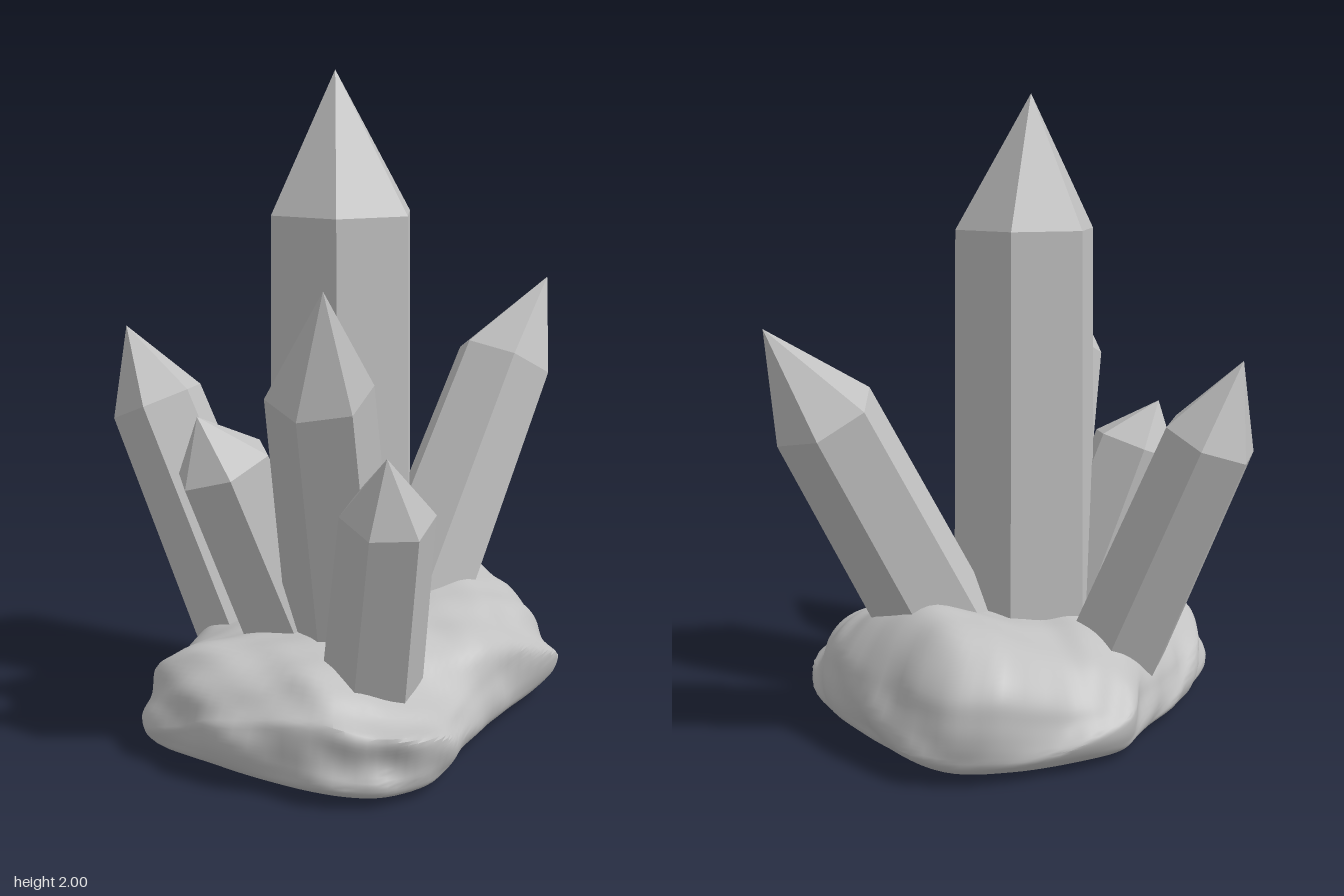
import * as THREE from 'three';
import { toCreasedNormals } from 'three/addons/utils/BufferGeometryUtils.js';

const V = (p) => new THREE.Vector3(...p);
const stone = new THREE.MeshStandardMaterial({ color: 0xc0c0c0 });
stone.name = 'grey stone';

// Six-sided pointed prism; ridge is a point near one shoulder corner and sets the twist
function crystal(name, { foot, shoulder, tip, ridge, rFoot, rTop }) {
  const f = V(foot), s = V(shoulder), t = V(tip);
  const axis = s.clone().sub(f).normalize();
  const u = V(ridge).sub(s).projectOnPlane(axis).normalize();
  const w = axis.clone().cross(u);
  const ring = (c, r) => Array.from({ length: 6 }, (_, i) => c.clone()
    .addScaledVector(u, r * Math.cos(i * Math.PI / 3))
    .addScaledVector(w, r * Math.sin(i * Math.PI / 3)));
  const low = ring(f, rFoot), high = ring(s, rTop), tris = [];
  for (let i = 0; i < 6; i++) {
    const j = (i + 1) % 6;
    tris.push(low[i], low[j], high[j], low[i], high[j], high[i]);
    tris.push(high[i], high[j], t, low[j], low[i], f);
  }
  const geo = new THREE.BufferGeometry().setFromPoints(tris);
  geo.computeVertexNormals();
  const mesh = new THREE.Mesh(geo, stone);
  mesh.name = name;
  return mesh;
}

// Soft bump centred on (cx, cz)
const bump = (x, z, cx, cz, sx, sz) => Math.exp(-(((x - cx) / sx) ** 2) - ((z - cz) / sz) ** 2);

// Lumpy rock noise, about -1 to 1, with sharp folds
function lump(x, y, z) {
  const a = Math.sin(7 * x + 3 * z + 9 * y) * Math.cos(6 * z - 4 * x + 1);
  const b = 0.5 - Math.abs(Math.sin(5 * x - 4 * z + 11 * y + 2));
  const c = Math.sin(17 * x + 14 * y) * Math.sin(15 * z - 12 * y + 1);
  const d = Math.sin(31 * x - 9 * z + 16 * y) * Math.sin(27 * z + 8 * x + 2);
  return 0.45 * a + 0.6 * b + 0.35 * c + 0.2 * d;
}

// Rock: rings shrunk from the plan outline, lifted onto a bumpy top
function rock() {
  const centre = [-0.08, 0.05];
  const outline = new THREE.CatmullRomCurve3([
    [-0.75, -0.19], [-0.56, -0.32], [-0.35, -0.4], [-0.1, -0.47], [0.03, -0.52], [0.19, -0.49],
    [0.42, -0.4], [0.58, -0.26], [0.59, 0.04], [0.53, 0.34], [0.46, 0.47], [0.37, 0.55],
    [0.06, 0.58], [-0.2, 0.61], [-0.44, 0.67], [-0.62, 0.6], [-0.72, 0.4], [-0.76, 0.06],
  ].map(([x, z]) => new THREE.Vector3(x, 0, z)), true);
  // x: share of the outline, y: share of the local height
  const levels = new THREE.CatmullRomCurve3([
    [0, 0], [0.45, 0], [0.78, 0.01], [0.89, 0.05], [0.96, 0.14], [0.99, 0.27], [0.99, 0.4],
    [0.97, 0.53], [0.94, 0.66], [0.87, 0.79], [0.76, 0.9], [0.6, 0.96], [0.4, 1], [0.2, 1], [0, 1],
  ].map(([s, h]) => new THREE.Vector3(s, h, 0)));
  const n = 120, rows = 56, pos = [], index = [];
  for (let j = 0; j <= rows; j++) {
    const { x: share, y: h } = levels.getPoint(j / rows);
    for (let i = 0; i < n; i++) {
      const o = outline.getPoint(i / n);
      const x = centre[0] + (o.x - centre[0]) * share;
      const z = centre[1] + (o.z - centre[1]) * share;
      const height = 0.36 + 0.13 * bump(x, z, 0.4, 0, 0.2, 0.32)
        - 0.07 * bump(x, z, -0.5, -0.28, 0.35, 0.2) - 0.07 * bump(x, z, 0, -0.5, 0.6, 0.18)
        - 0.12 * bump(x, z, -0.38, 0.56, 0.28, 0.16);
      const k = lump(x, h * 0.4, z), rough = 0.05 * k * Math.min(1, h * 5);
      const y = Math.max(0, h * height + 0.02 * k * Math.min(1, h * 3));
      pos.push(centre[0] + (x - centre[0]) * (1 + rough), y, centre[1] + (z - centre[1]) * (1 + rough));
      if (j === rows) continue;
      const a = j * n + i, b = j * n + (i + 1) % n;
      if (j > 0) index.push(b, a, a + n);
      index.push(b, a + n, b + n);
    }
  }
  const geo = new THREE.BufferGeometry();
  geo.setAttribute('position', new THREE.Float32BufferAttribute(pos, 3));
  geo.setIndex(index);
  const mesh = new THREE.Mesh(toCreasedNormals(geo, 0.7), stone);
  mesh.name = 'rockBase';
  return mesh;
}

const crystals = {
  mainCrystal: {
    foot: [-0.1, 0.2, 0.065], shoulder: [-0.1, 1.58, 0.065], tip: [-0.1, 2, 0.04],
    ridge: [-0.116, 1.58, -0.165], rFoot: 0.245, rTop: 0.232,
  },
  leftCrystal: {
    foot: [0.15, 0.2, 0.12], shoulder: [0.61, 1.045, 0.205], tip: [0.775, 1.315, 0.27],
    ridge: [0.64, 1.03, 0.36], rFoot: 0.185, rTop: 0.165,
  },
  backCrystal: {
    foot: [-0.2, 0.25, -0.255], shoulder: [-0.288, 0.955, -0.545], tip: [-0.34, 1.2, -0.625],
    ridge: [-0.295, 1.01, -0.42], rFoot: 0.168, rTop: 0.152,
  },
  rightCrystal: {
    foot: [-0.19, 0.2, 0.15], shoulder: [-0.54, 1.135, 0.33], tip: [-0.635, 1.43, 0.42],
    ridge: [-0.405, 1.19, 0.3], rFoot: 0.172, rTop: 0.152,
  },
  backRightCrystal: {
    foot: [-0.24, 0.2, 0.02], shoulder: [-0.47, 0.85, -0.095], tip: [-0.53, 1.0, -0.14],
    ridge: [-0.62, 0.8, -0.12], rFoot: 0.165, rTop: 0.152,
  },
  frontRightCrystal: {
    foot: [-0.355, 0.235, 0.375], shoulder: [-0.493, 0.81, 0.53], tip: [-0.56, 0.99, 0.575],
    ridge: [-0.38, 0.83, 0.5], rFoot: 0.15, rTop: 0.135,
  },
};

export function createModel() {
  const model = new THREE.Group();
  model.name = 'crystalCluster';
  model.add(rock());
  for (const [name, shape] of Object.entries(crystals)) model.add(crystal(name, shape));
  return model;
}
